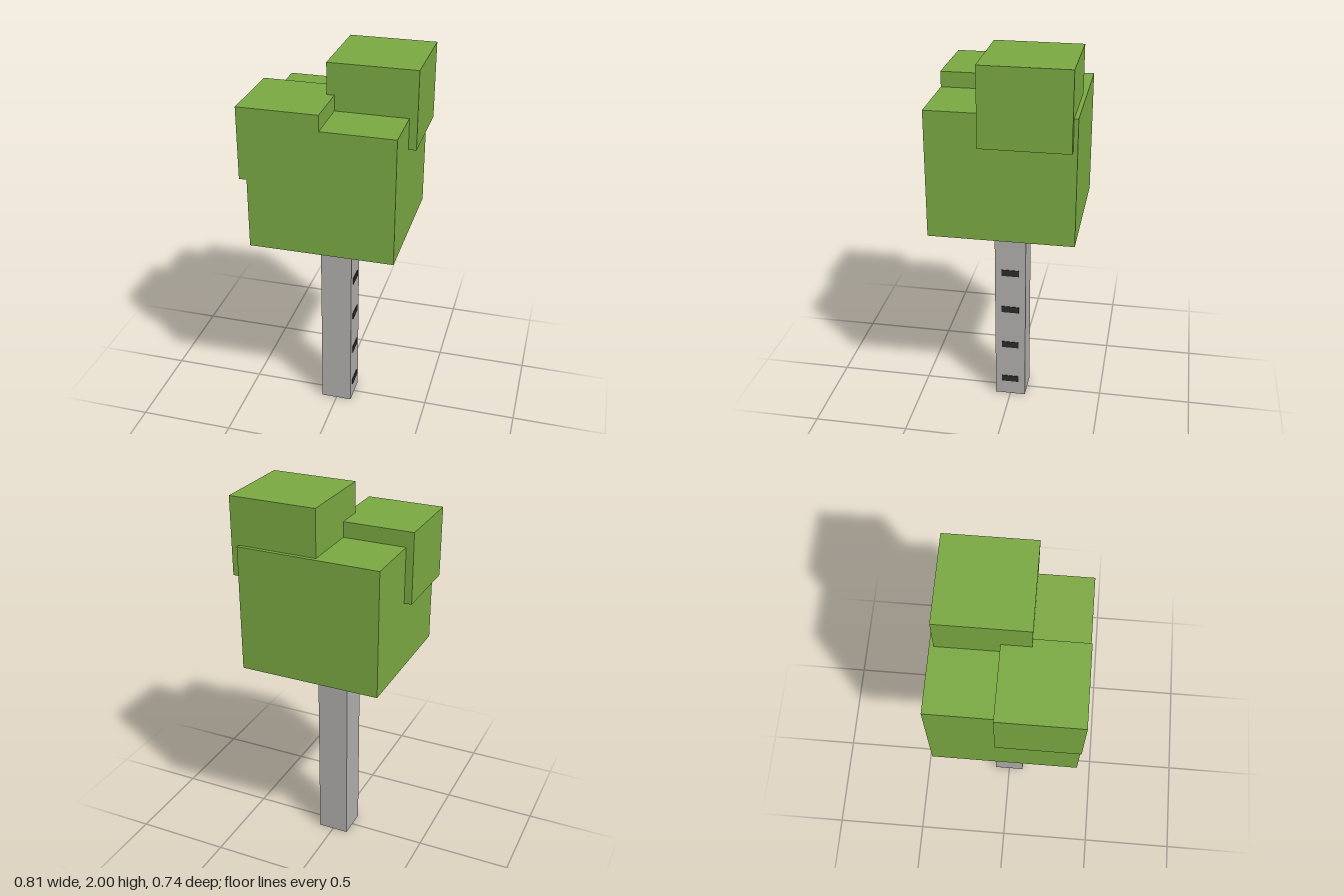
import * as THREE from 'three';

const material = (name, color, side = THREE.FrontSide) => {
  const m = new THREE.MeshStandardMaterial({ color, side });
  m.name = name;
  return m;
};

// Box given by its corners, with an open underside
function openBox(name, mat, [x0, y0, z0], [x1, y1, z1]) {
  const geometry = new THREE.BoxGeometry(x1 - x0, y1 - y0, z1 - z0);
  const index = Array.from(geometry.index.array);
  index.splice(18, 6); // drop the bottom face
  geometry.setIndex(index);
  geometry.clearGroups();
  const mesh = new THREE.Mesh(geometry, mat);
  mesh.name = name;
  mesh.position.set((x0 + x1) / 2, (y0 + y1) / 2, (z0 + z1) / 2);
  return mesh;
}

export function createModel() {
  const leaf = material('leaf green', 0x7aa842, THREE.DoubleSide);
  const bark = material('pale bark', 0xb0aeab, THREE.DoubleSide);
  const dark = material('dark bark', 0x2b2b2b);

  const tree = new THREE.Group();
  tree.name = 'birchTree';

  // Trunk runs up into the hollow crown
  tree.add(openBox('trunk', bark, [-0.083, 0, -0.083], [0.083, 1.45, 0.083]));

  // Foliage blocks
  tree.add(
    openBox('crown', leaf, [-0.368, 1.107, -0.368], [0.367, 1.76, 0.367]),
    openBox('leftFoliage', leaf, [-0.407, 1.47, -0.042], [-0.002, 1.84, 0.367]),
    openBox('topFoliage', leaf, [-0.041, 1.6, -0.347], [0.407, 2, 0.101]),
  );

  // Dark bark marks up one side of the trunk
  const markGeometry = new THREE.BoxGeometry(0.009, 0.036, 0.094);
  for (let i = 0; i < 6; i++) {
    const mark = new THREE.Mesh(markGeometry, dark);
    mark.name = 'barkMark';
    mark.position.set(0.082, 0.1 + i * 0.225, 0);
    tree.add(mark);
  }
  return tree;
}
